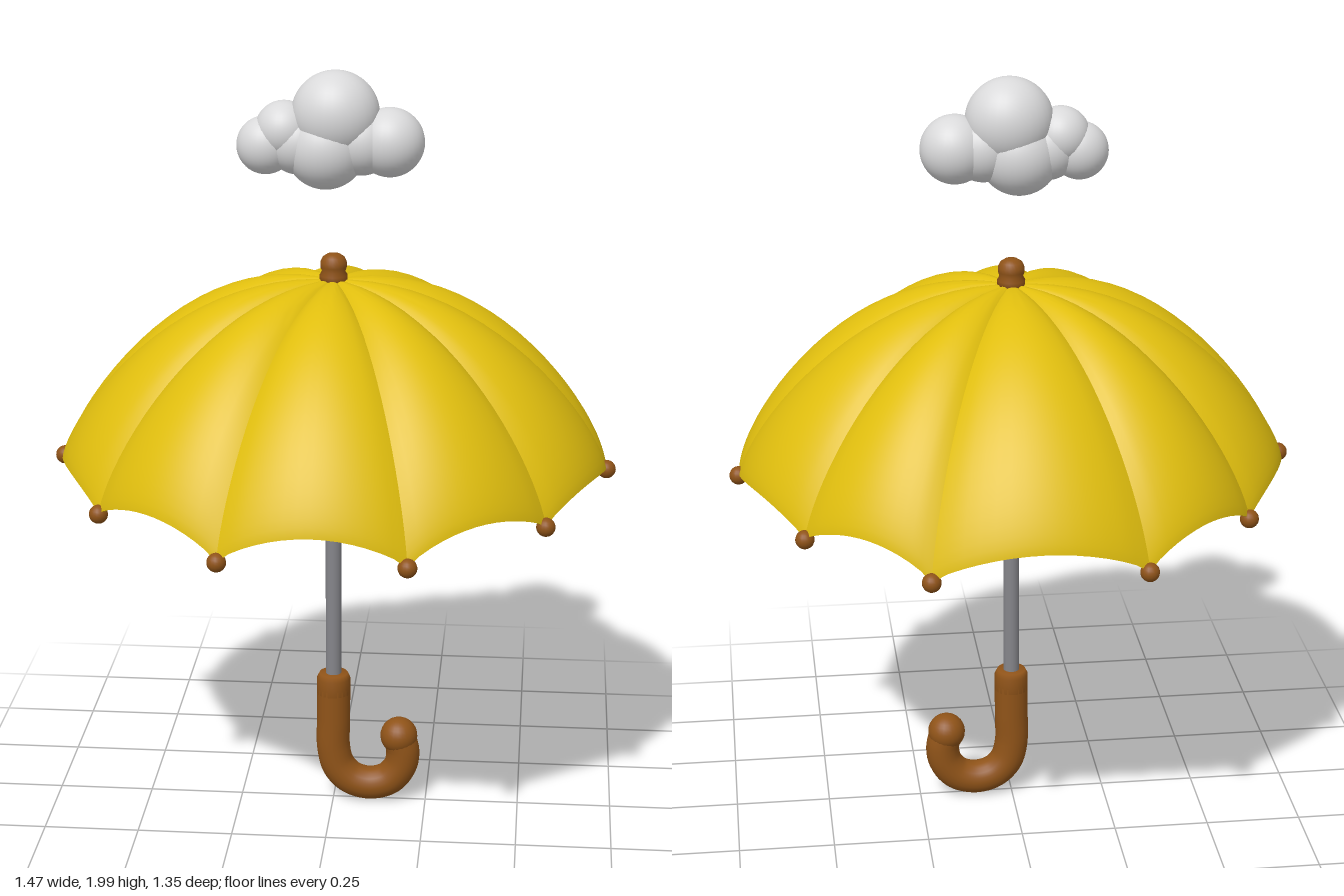
import * as THREE from 'three';
import { mergeGeometries, toCreasedNormals } from 'three/addons/utils/BufferGeometryUtils.js';

const mat = (name, color) => new THREE.MeshStandardMaterial({ name, color });

// Rib tips: [x, y, z], going round from +x towards +z
const half = [[0.71, 0.97, 0], [0.557, 0.945, 0.382], [0.23, 0.92, 0.627]];
const back = [[0.265, 0.92, -0.618], [0.557, 0.945, -0.38]];
const mirrorX = ([x, y, z]) => [-x, y, z];
const tips = [
  ...half, ...[...half].reverse().map(mirrorX),
  ...[...back].reverse().map(mirrorX), ...back,
].map(([x, y, z]) => ({ r: Math.hypot(x, z), a: (Math.atan2(z, x) + 2 * Math.PI) % (2 * Math.PI), y }));

// Point on the canopy: panel k, u across the panel, s from crown to rim, d depth below the cloth
function canopyPoint(k, u, s, d) {
  const p = tips[k], q = tips[(k + 1) % tips.length];
  const qa = q.a > p.a ? q.a : q.a + 2 * Math.PI;
  const a = THREE.MathUtils.lerp(p.a, qa, u);
  const arch = Math.pow(Math.max(0, Math.sin(Math.PI * u)), 0.75);
  const rim = THREE.MathUtils.lerp(p.r, q.r, u) + 0.004 * arch - d * 0.9;
  const tipY = THREE.MathUtils.lerp(p.y, q.y, u);
  const edge = tipY + (1.003 - tipY) * arch;
  const y = edge + (1.462 - d - edge) * Math.pow(1 - s * s, 0.75) + 0.022 * arch * Math.sin(Math.PI * s);
  return new THREE.Vector3(Math.cos(a) * rim * s, y, Math.sin(a) * rim * s);
}

// One cloth panel with an outer skin, a rim and an inner skin
function panelGeometry(k) {
  const nu = 14, ns = 22, pos = [], idx = [];
  const cols = 2 * (ns + 1);
  for (let i = 0; i <= nu; i++) {
    for (let j = 0; j < cols; j++) {
      const inner = j > ns;
      const t = (inner ? cols - 1 - j : j) / ns;
      const s = Math.sin(t * Math.PI / 2);
      pos.push(...canopyPoint(k, i / nu, s, inner ? 0.014 : 0).toArray());
    }
  }
  for (let i = 0; i < nu; i++) {
    for (let j = 0; j < cols - 1; j++) {
      const a = i * cols + j, b = a + cols;
      idx.push(a, b, a + 1, b, b + 1, a + 1);
    }
  }
  const g = new THREE.BufferGeometry();
  g.setAttribute('position', new THREE.Float32BufferAttribute(pos, 3));
  g.setIndex(idx);
  return toCreasedNormals(g, 0.8);
}

export function createModel() {
  const model = new THREE.Group();
  model.name = 'umbrellaWithCloud';
  const yellow = mat('yellowCloth', 0xe0be0e);
  const brown = mat('brownWood', 0x8f5318);
  const grey = mat('greyMetal', 0x85858a);
  const white = mat('cloudWhite', 0xd9d9da);

  const add = (name, geometry, material, x = 0, y = 0, z = 0, parent = model) => {
    const m = new THREE.Mesh(geometry, material);
    m.name = name;
    m.position.set(x, y, z);
    parent.add(m);
    return m;
  };

  // Canopy
  add('canopy', mergeGeometries(tips.map((_, k) => panelGeometry(k))), yellow);

  // Ribs under the cloth and their end balls
  const ribs = new THREE.Group();
  ribs.name = 'ribs';
  model.add(ribs);
  tips.forEach((tip, k) => {
    const pts = [0.06, 0.2, 0.4, 0.6, 0.75, 0.87, 0.95, 0.99].map((s) => canopyPoint(k, 0, s, 0.016));
    add('rib', new THREE.TubeGeometry(new THREE.CatmullRomCurve3(pts), 28, 0.006, 6), grey, 0, 0, 0, ribs);
    add('ribTip', new THREE.SphereGeometry(0.024, 16, 12), brown,
      Math.cos(tip.a) * tip.r, tip.y, Math.sin(tip.a) * tip.r, ribs);
  });

  // Shaft with a collar under the crown
  add('shaft', new THREE.CylinderGeometry(0.021, 0.021, 1.1, 16), grey, 0, 0.89, 0);
  add('crownCollar', new THREE.CylinderGeometry(0.034, 0.03, 0.05, 20), brown, 0, 1.425, 0);

  // Finial on top
  const finial = [[0, 1.45], [0.036, 1.45], [0.036, 1.474], [0.03, 1.484], [0.034, 1.496],
    [0.034, 1.508], [0.028, 1.521], [0.016, 1.529], [0, 1.531]];
  add('finial', new THREE.LatheGeometry(finial.map((p) => new THREE.Vector2(...p)), 24), brown);

  // Hooked handle
  const hook = [[0, 0.33], [0, 0.24], [0, 0.155], [0.014, 0.1], [0.048, 0.064], [0.1, 0.051],
    [0.15, 0.066], [0.181, 0.105], [0.188, 0.15], [0.177, 0.193]];
  const path = new THREE.CatmullRomCurve3(hook.map(([x, y]) => new THREE.Vector3(x, y, 0)));
  add('handle', new THREE.TubeGeometry(path, 60, 0.045, 20), brown);
  add('handleEnd', new THREE.SphereGeometry(0.05, 24, 16), brown, 0.177, 0.194, 0);
  const collar = [[0, 0.305], [0.038, 0.305], [0.045, 0.315], [0.045, 0.358], [0.038, 0.372], [0, 0.373]];
  add('handleCollar', new THREE.LatheGeometry(collar.map((p) => new THREE.Vector2(...p)), 24), brown);

  // Cloud puffs: x, y, radius, z scale
  const cloud = new THREE.Group();
  cloud.name = 'cloud';
  model.add(cloud);
  [[0.005, 1.888, 0.112, 0.9], [-0.02, 1.802, 0.104, 0.97], [0.142, 1.82, 0.088, 0.95],
    [-0.172, 1.808, 0.074, 0.93], [-0.125, 1.848, 0.074, 1],
    [0.07, 1.82, 0.085, 0.95], [-0.09, 1.815, 0.08, 0.95]].forEach(([x, y, r, sz]) => {
    add('puff', new THREE.SphereGeometry(r, 32, 24), white, x, y, 0, cloud).scale.z = sz;
  });

  return model;
}
